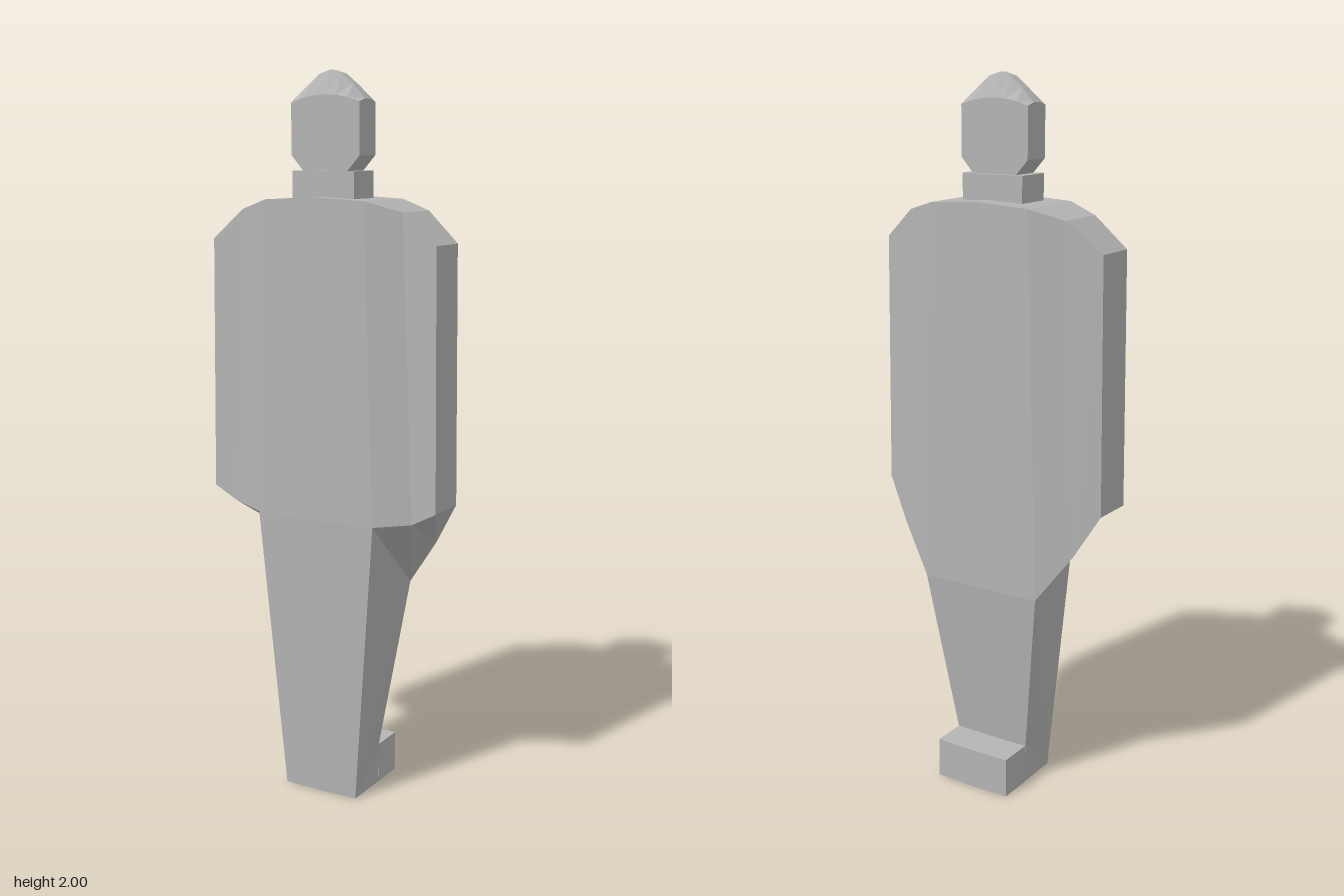
import * as THREE from 'three';

// Closed flat-shaded solid from matching rings, listed from the centre out to +x and mirrored.
// Each ring runs front bottom -> front top -> back top -> back bottom, as [x, y, z] points.
function mirroredLoft(half) {
  const flipped = half.slice(1).reverse().map(r => r.map(([x, y, z]) => [-x, y, z]));
  const rings = [...flipped, ...half];
  const n = rings[0].length;
  const pos = [];
  const tri = (a, b, c) => pos.push(...a, ...b, ...c);
  for (let i = 0; i < rings.length - 1; i++) {
    for (let j = 0; j < n; j++) {
      const k = (j + 1) % n;
      const a = rings[i][j], b = rings[i + 1][j], c = rings[i + 1][k], d = rings[i][k];
      tri(a, b, c);
      tri(a, c, d);
    }
  }
  const first = rings[0], last = rings[rings.length - 1];
  for (let j = 1; j < n - 1; j++) {
    tri(first[0], first[j], first[j + 1]);
    tri(last[0], last[j + 1], last[j]);
  }
  const g = new THREE.BufferGeometry();
  g.setAttribute('position', new THREE.Float32BufferAttribute(pos, 3));
  g.computeVertexNormals();
  return g;
}

// Four-cornered block whose front and back bow out slightly at the centre
function bowedBlock(w, y0, y1, zFront, zBack, bowFront, bowBack) {
  const ring = (x, f, b) => [[x, y0, f], [x, y1, f], [x, y1, b], [x, y0, b]];
  return mirroredLoft([
    ring(0, zFront + bowFront, zBack - bowBack),
    ring(w, zFront, zBack),
  ]);
}

export function createModel() {
  const group = new THREE.Group();
  const grey = new THREE.MeshStandardMaterial({ color: 0xb4b4b4, flatShading: true });
  grey.name = 'plain grey';

  const add = (name, geometry) => {
    const mesh = new THREE.Mesh(geometry, grey);
    mesh.name = name;
    group.add(mesh);
  };

  // Cloaked torso: sloping shoulders, hem lower at the back
  add('torso', mirroredLoft([
    [[0, 0.8, 0.133], [0, 1.673, 0.133], [0, 1.673, -0.092], [0, 0.6, -0.092]],
    [[0.18, 0.805, 0.13], [0.15, 1.665, 0.13], [0.15, 1.665, -0.09], [0.183, 0.6, -0.09]],
    [[0.28, 0.818, 0.095], [0.245, 1.637, 0.095], [0.245, 1.637, -0.055], [0.28, 0.735, -0.055]],
    [[0.35, 0.855, 0.095], [0.342, 1.555, 0.095], [0.342, 1.555, -0.03], [0.35, 0.855, -0.03]],
  ]));

  // Tapered legs as one block
  add('legs', mirroredLoft([
    [[0, 0, 0.103], [0, 0.8, 0.133], [0, 0.6, -0.092], [0, 0.115, -0.032], [0, 0, -0.032]],
    [[0.113, 0, 0.1], [0.18, 0.805, 0.13], [0.183, 0.6, -0.09], [0.117, 0.115, -0.03], [0.115, 0, -0.03]],
  ]));

  // Feet pointing towards the back
  add('feet', bowedBlock(0.116, 0, 0.115, -0.03, -0.132, 0, 0.003));

  add('neck', bowedBlock(0.094, 1.66, 1.74, 0.082, -0.025, 0.002, 0.005));

  // Head with narrowed chin and a ridged, arched crown
  const headRing = (x, chinY, browY, ridgeY) => [
    [x, chinY, 0.07], [x, browY, 0.07], [x, ridgeY, 0.041],
    [x, ridgeY, 0.013], [x, browY, -0.015], [x, chinY, -0.015],
  ];
  add('head', mirroredLoft([
    headRing(0, 1.735, 1.936, 2.0),
    headRing(0.033, 1.735, 1.934, 1.99),
    headRing(0.068, 1.74, 1.928, 1.962),
    headRing(0.104, 1.78, 1.917, 1.925),
  ]));

  return group;
}
